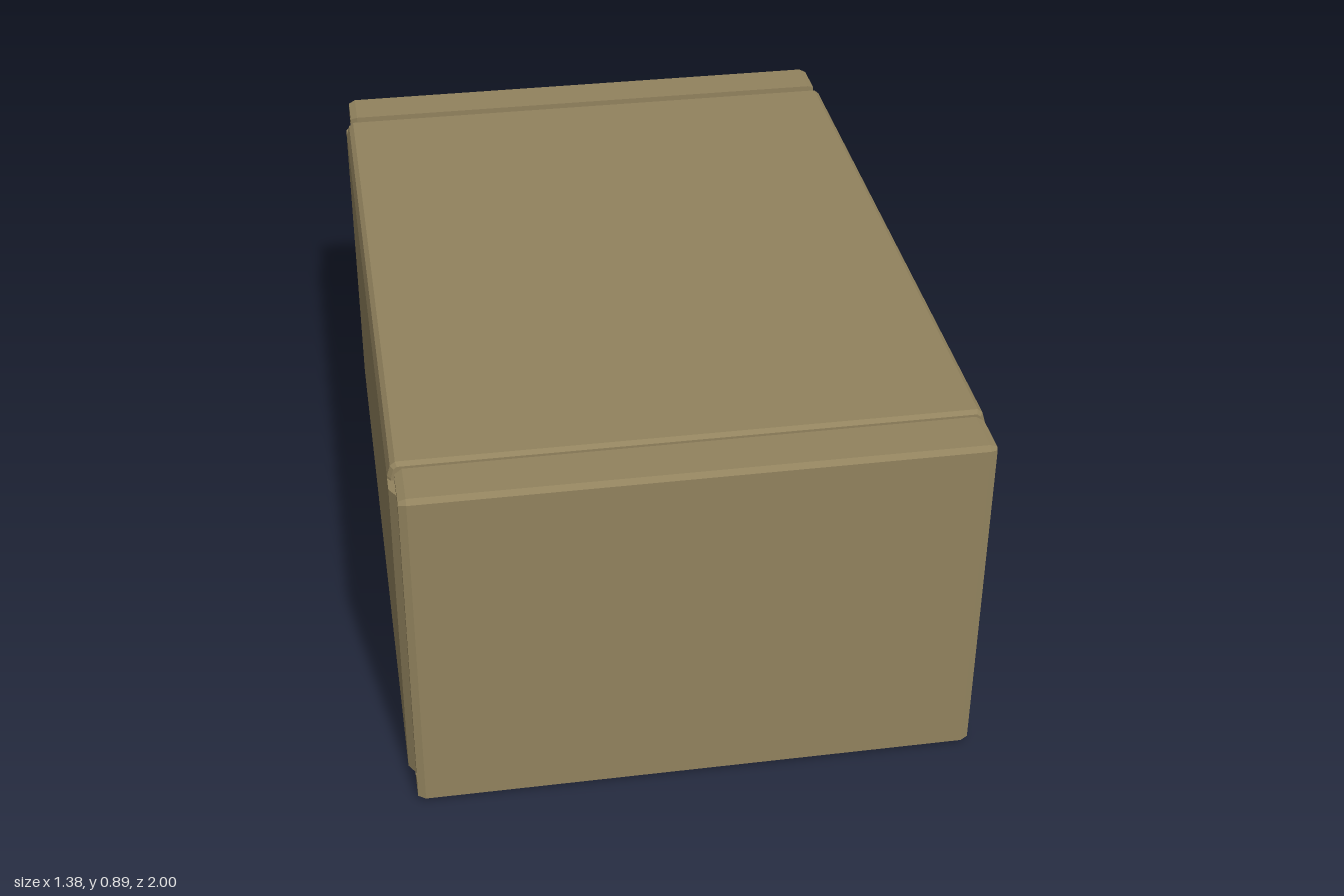
import * as THREE from 'three';

const material = new THREE.MeshStandardMaterial({ color: 0x92835e, flatShading: true });

// Half profile mirrored about its vertical axis into a closed shape
function mirrored(half) {
  const other = half.map(([a, b]) => [-a, b]).reverse();
  return new THREE.Shape([...half, ...other].map(([a, b]) => new THREE.Vector2(a, b)));
}

// Extrude to a total depth, centred, with an inset chamfer on both ends
function extrude(shape, depth, size = 0, thickness = 0) {
  const geometry = new THREE.ExtrudeGeometry(shape, {
    depth: depth - 2 * thickness,
    bevelEnabled: size > 0,
    bevelSize: size,
    bevelOffset: -size,
    bevelThickness: thickness,
    bevelSegments: 1,
  });
  geometry.translate(0, 0, thickness - depth / 2);
  return geometry;
}

function part(name, geometry, parent) {
  const mesh = new THREE.Mesh(geometry, material);
  mesh.name = name;
  parent.add(mesh);
  return mesh;
}

// Floor plan of the cover: long sides folded inward at both ends
function coverPlan(inset) {
  const x = 0.69 - inset, z = 0.953 - inset;
  return [[x - 0.04, -z], [x, -0.888], [x, 0.888], [x - 0.04, z]];
}

// Vertical extrusion of a plan between two heights
function upright(shape, y0, y1) {
  return extrude(shape, y1 - y0).rotateX(-Math.PI / 2).translate(0, (y0 + y1) / 2, 0);
}

export function createModel() {
  const model = new THREE.Group();
  model.name = 'enclosure';

  // Base: floor, front and back walls, and lips folded over the top
  const baseProfile = mirrored([
    [0.985, 0], [1, 0.012], [1, 0.875], [0.99, 0.887], [0.875, 0.887], [0.875, 0.85],
    [0.955, 0.85], [0.955, 0.045], [0.92, 0.022],
  ].reverse());
  part('base', extrude(baseProfile, 1.35, 0.008, 0.018).rotateY(Math.PI / 2), model);

  // Cover: side walls, ledge under the lips, raised lid
  const cover = new THREE.Group();
  cover.name = 'cover';
  model.add(cover);

  const walls = mirrored(coverPlan(0));
  walls.holes.push(mirrored(coverPlan(0.025)));
  part('coverWalls', upright(walls, 0.02, 0.82), cover);
  part('coverLedge', upright(mirrored(coverPlan(0)), 0.82, 0.843), cover);

  const lidProfile = mirrored([[0.69, 0.825], [0.69, 0.85], [0.682, 0.877], [0.67, 0.887]]);
  part('raisedLid', extrude(lidProfile, 1.71, 0.008, 0.01), cover);

  return model;
}
